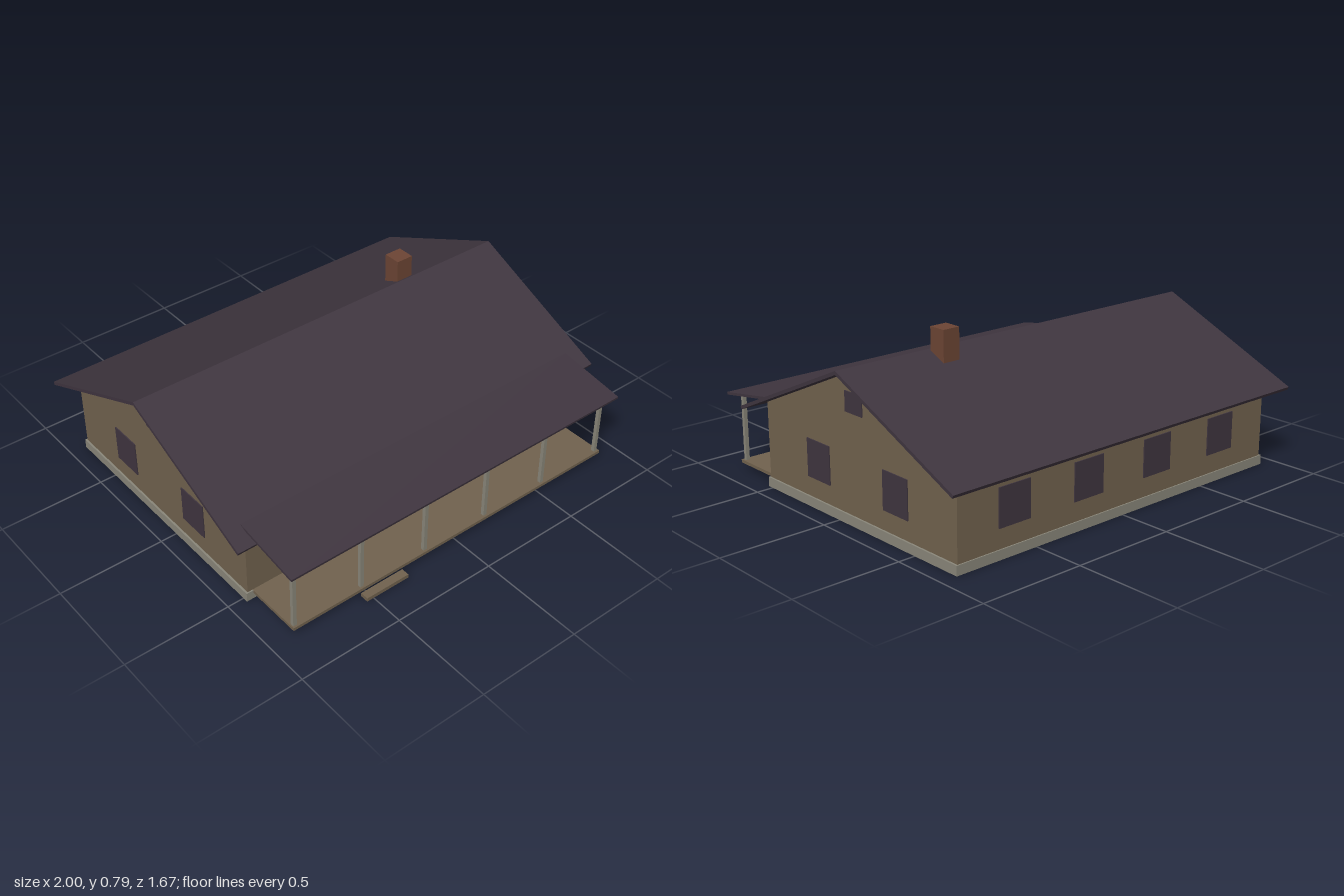
import * as THREE from 'three';

const mat = (name, color) => {
  const m = new THREE.MeshStandardMaterial({ color });
  m.name = name;
  return m;
};

export function createModel() {
  const house = new THREE.Group();
  house.name = 'house';
  const timber = mat('timber brown', 0x71624e);
  const dark = mat('dark slate', 0x3f353f);
  const stone = mat('stone grey', 0x898679);
  const brick = mat('brick red', 0x6c4534);

  const add = (name, geometry, material) => {
    const mesh = new THREE.Mesh(geometry, material);
    mesh.name = name;
    house.add(mesh);
  };
  // Box given by its limits on each axis
  const box = (name, material, [x0, x1], [y0, y1], [z0, z1]) => {
    const g = new THREE.BoxGeometry(x1 - x0, y1 - y0, z1 - z0);
    g.translate((x0 + x1) / 2, (y0 + y1) / 2, (z0 + z1) / 2);
    add(name, g, material);
  };
  // Prism along x from a [z, y] outline
  const prism = (name, material, outline, width) => {
    const shape = new THREE.Shape(outline.map(([z, y]) => new THREE.Vector2(z, y)));
    const g = new THREE.ExtrudeGeometry(shape, { depth: width, bevelEnabled: false });
    g.translate(0, 0, -width / 2).rotateY(-Math.PI / 2);
    add(name, g, material);
  };

  const ridge = -0.117, front = 0.52, back = -0.752, side = 0.913;

  // Foundation and gabled walls
  box('foundation', stone, [-0.922, 0.922], [0.001, 0.045], [-0.758, 0.526]);
  prism('walls', timber, [[front, 0], [front, 0.4], [ridge, 0.68], [back, 0.4], [back, 0]], side * 2);

  // Main roof as a bent slab
  prism('mainRoof', dark, [
    [0.6, 0.375], [ridge, 0.693], [-0.835, 0.375],
    [-0.829, 0.361], [ridge, 0.676], [0.594, 0.361],
  ], 2);
  box('chimney', brick, [0.435, 0.52], [0.6, 0.793], [-0.213, -0.128]);

  // Porch
  box('porchDeck', timber, [-0.888, 0.888], [0.03, 0.045], [0.52, 0.8]);
  box('porchStep', timber, [-0.537, -0.313], [0.004, 0.022], [0.8, 0.84]);
  prism('porchRoof', dark, [[0.839, 0.366], [0.505, 0.419], [0.503, 0.407], [0.837, 0.354]], 1.84);
  for (let i = 0; i < 6; i++) {
    const x = -0.873 + i * 0.3486;
    box('porchPost', stone, [x - 0.009, x + 0.009], [0.045, 0.362], [0.773, 0.79]);
  }

  // Door with dark lower panel
  box('door', brick, [-0.495, -0.355], [0.045, 0.332], [front - 0.002, front + 0.005]);
  box('doorPanel', dark, [-0.493, -0.357], [0.045, 0.113], [front, front + 0.007]);

  // Windows on the long walls
  for (const x of [-0.665, -0.003, 0.328, 0.66])
    box('frontWindow', dark, [x - 0.086, x + 0.086], [0.134, 0.306], [front - 0.002, front + 0.005]);
  for (const x of [-0.618, -0.206, 0.206, 0.618])
    box('backWindow', dark, [x - 0.083, x + 0.083], [0.134, 0.306], [back - 0.005, back + 0.002]);

  // Windows on both gable ends
  for (const s of [-1, 1]) {
    const xs = s > 0 ? [side - 0.002, side + 0.005] : [-side - 0.005, -side + 0.002];
    for (const z of [0.143, -0.377])
      box('gableWindow', dark, xs, [0.134, 0.308], [z - 0.079, z + 0.079]);
    box('atticWindow', dark, xs, [0.493, 0.583], [-0.173, -0.06]);
  }
  return house;
}
